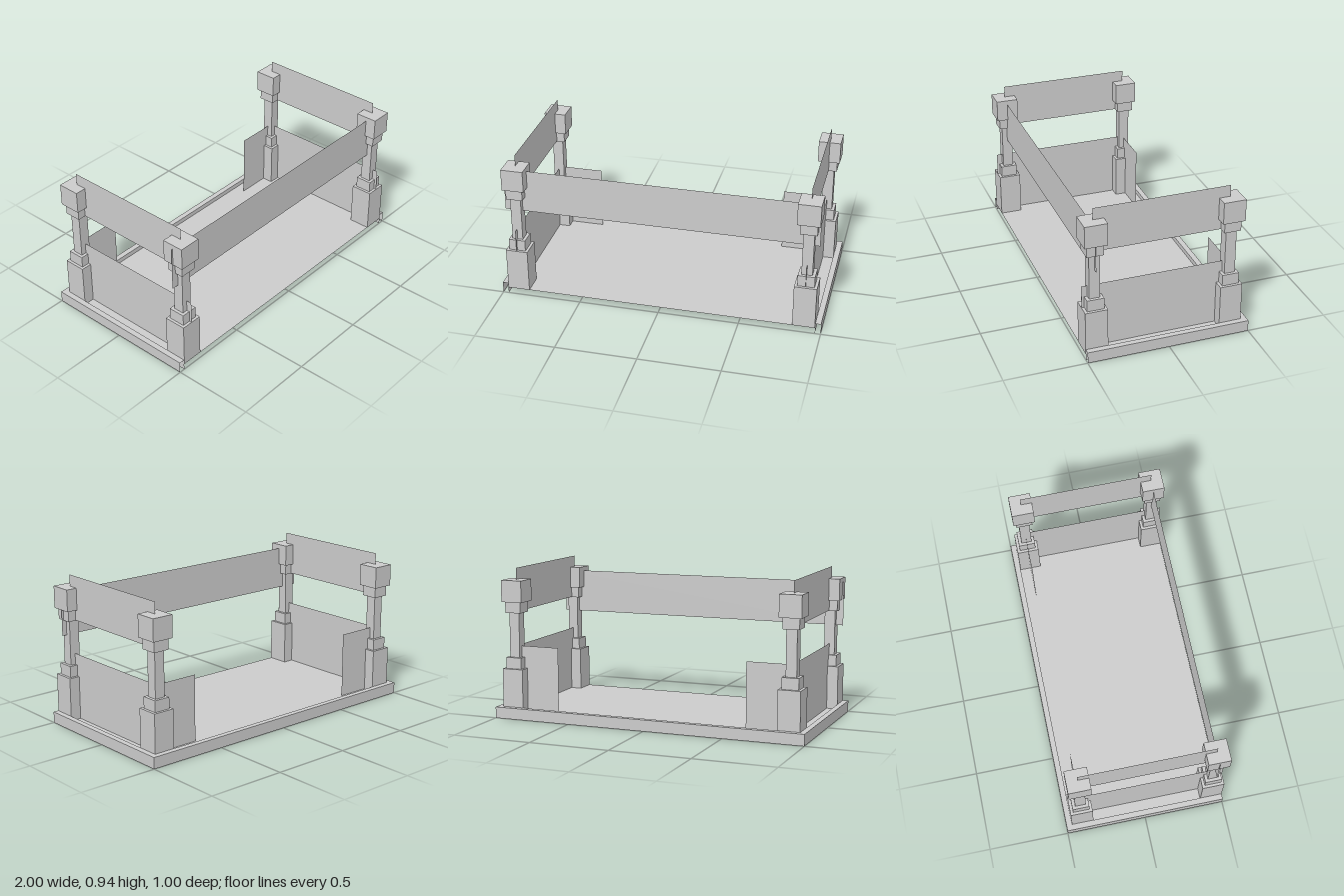
import * as THREE from 'three';

const solid = new THREE.MeshStandardMaterial({ color: 0xcccccc, flatShading: true });
const sheet = new THREE.MeshStandardMaterial({ color: 0xcccccc, flatShading: true, side: THREE.DoubleSide });

const POST_X = 0.895, FRONT_Z = 0.432, BACK_Z = -0.396, FLOOR_Y = 0.04;

// Stacked square blocks: [name, width, bottom, top]
const POST_BLOCKS = [
  ['postFoot', 0.137, FLOOR_Y, 0.31],
  ['postLowerCollar', 0.103, 0.31, 0.38],
  ['postShaft', 0.066, 0.38, 0.66],
  ['postUpperCollar', 0.103, 0.66, 0.728],
  ['postCap', 0.137, 0.728, 0.864],
];

function createPost(name, x, z) {
  const post = new THREE.Group();
  post.name = name;
  for (const [part, width, y0, y1] of POST_BLOCKS) {
    const block = new THREE.Mesh(new THREE.BoxGeometry(width, y1 - y0, width), solid);
    block.name = part;
    block.position.y = (y0 + y1) / 2;
    post.add(block);
  }
  post.position.set(x, 0, z);
  return post;
}

// Thin upright panel across x, at depth z
function panelAcross(name, x0, x1, y0, y1, z) {
  const mesh = new THREE.Mesh(new THREE.PlaneGeometry(Math.abs(x1 - x0), y1 - y0), sheet);
  mesh.name = name;
  mesh.position.set((x0 + x1) / 2, (y0 + y1) / 2, z);
  return mesh;
}

// Thin upright panel along z, at side x
function panelAlong(name, z0, z1, y0, y1, x) {
  const mesh = new THREE.Mesh(new THREE.PlaneGeometry(Math.abs(z1 - z0), y1 - y0), sheet);
  mesh.name = name;
  mesh.rotation.y = Math.sign(x) * Math.PI / 2;
  mesh.position.set(x, (y0 + y1) / 2, (z0 + z1) / 2);
  return mesh;
}

// Hollow channel round the left, back and right edges, open below and at the front
function createRim() {
  const profile = [[0, 0], [0, 0.07], [0.035, 0.07], [0.035, 0]];
  const rows = profile.map(([inset, y]) => {
    const x = 1 - inset, back = -0.5 + inset;
    return [[x, y, 0.5], [x, y, back], [-x, y, back], [-x, y, 0.5]];
  });
  const positions = [];
  for (let i = 0; i < 3; i++) {
    for (let j = 0; j < 3; j++) {
      const a = rows[i][j], b = rows[i][j + 1], c = rows[i + 1][j + 1], d = rows[i + 1][j];
      positions.push(...a, ...b, ...c, ...a, ...c, ...d);
    }
  }
  const geometry = new THREE.BufferGeometry();
  geometry.setAttribute('position', new THREE.Float32BufferAttribute(positions, 3));
  geometry.computeVertexNormals();
  const rim = new THREE.Mesh(geometry, sheet);
  rim.name = 'baseRim';
  return rim;
}

export function createModel() {
  const model = new THREE.Group();
  model.name = 'stall';

  // Base
  const floor = new THREE.Mesh(new THREE.PlaneGeometry(1.93, 0.965), sheet);
  floor.name = 'floor';
  floor.rotation.x = -Math.PI / 2;
  floor.position.set(0, FLOOR_Y, 0.0175);
  model.add(floor, createRim());

  // Posts and panels, mirrored left and right
  for (const [side, s] of [['left', 1], ['right', -1]]) {
    const x = s * POST_X;
    model.add(
      createPost(side + 'FrontPost', x, FRONT_Z),
      createPost(side + 'BackPost', x, BACK_Z),
      panelAlong(side + 'LowerPanel', 0.5, -0.362, FLOOR_Y, 0.45, x),
      panelAlong(side + 'UpperPanel', 0.43, -0.396, 0.662, 0.936, x),
      panelAcross(side + 'BackPanel', s * 0.612, s * 0.87, FLOOR_Y, 0.45, BACK_Z),
    );
  }

  // Long board between the front posts
  model.add(panelAcross('frontUpperPanel', -0.973, 0.96, 0.565, 0.838, FRONT_Z));
  return model;
}
